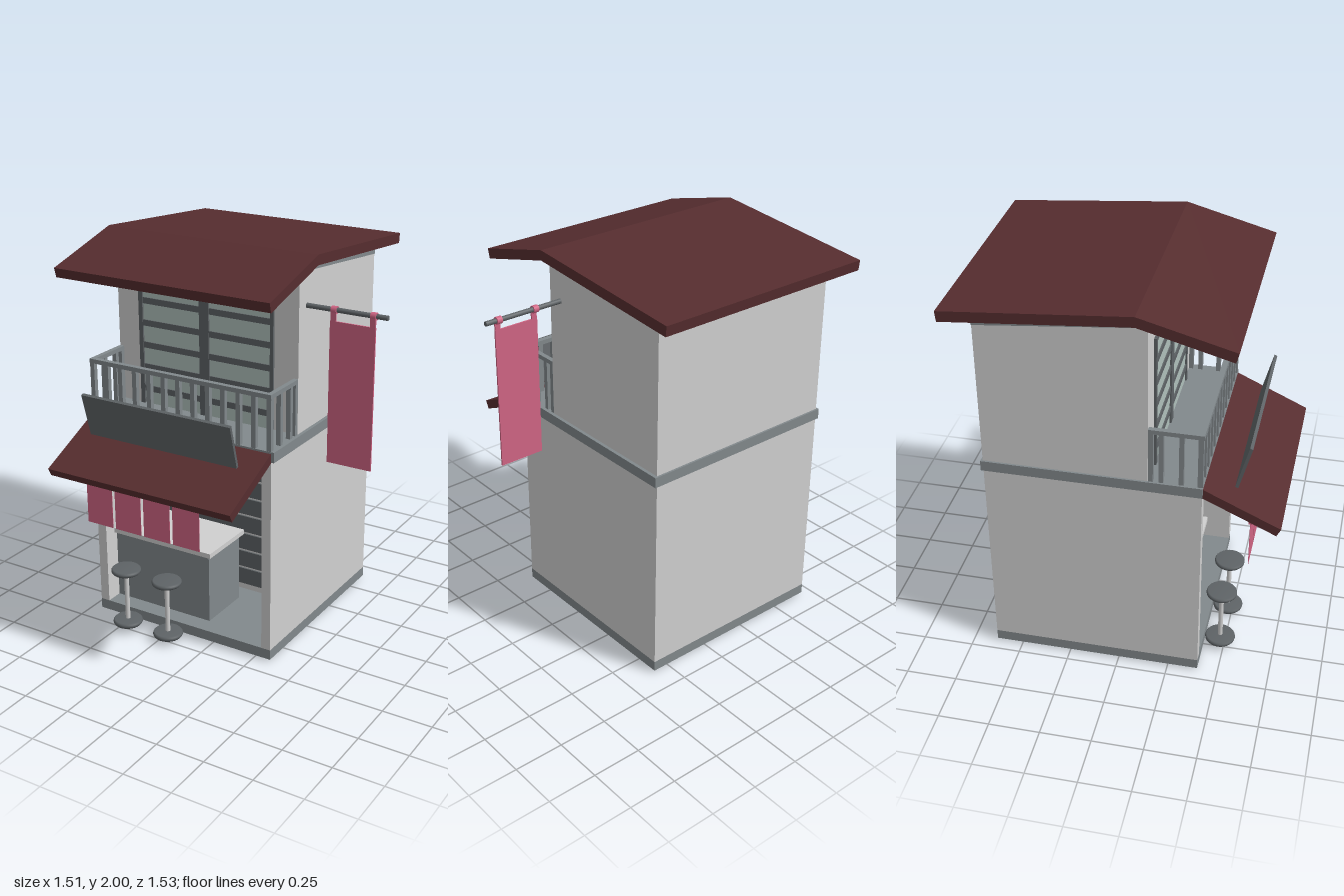
import * as THREE from 'three';

const mat = (name, color, side = THREE.FrontSide) => {
  const m = new THREE.MeshStandardMaterial({ color, side });
  m.name = name;
  return m;
};

export function createModel() {
  const M = {
    wall: mat('plaster', 0xd0d0d0),
    grey: mat('mid grey', 0x82898c),
    dark: mat('dark grey', 0x5e6366),
    roof: mat('roof red', 0x562d2f),
    pink: mat('cloth pink', 0xd06584, THREE.DoubleSide),
    glass: mat('glass', 0xb0c0bc),
  };
  const model = new THREE.Group();
  model.name = 'shopHouse';

  const group = (name) => {
    const g = new THREE.Group();
    g.name = name;
    model.add(g);
    return g;
  };
  const add = (name, geo, m, parent = model) => {
    const mesh = new THREE.Mesh(geo, m);
    mesh.name = name;
    parent.add(mesh);
    return mesh;
  };
  // Box given by its limits on each axis
  const box = (name, x0, x1, y0, y1, z0, z1, m, parent) => {
    const mesh = add(name, new THREE.BoxGeometry(x1 - x0, y1 - y0, z1 - z0), m, parent);
    mesh.position.set((x0 + x1) / 2, (y0 + y1) / 2, (z0 + z1) / 2);
    return mesh;
  };
  // Side profile of [z, y] points, extruded along x
  const slab = (name, x0, x1, pts, m, parent) => {
    const shape = new THREE.Shape(pts.map(([z, y]) => new THREE.Vector2(-z, y)));
    const geo = new THREE.ExtrudeGeometry(shape, { depth: x1 - x0, bevelEnabled: false });
    geo.rotateY(Math.PI / 2).translate(x0, 0, 0);
    return add(name, geo, m, parent);
  };
  // Round bar along x
  const barX = (name, x0, x1, y, z, r, m, parent) => {
    const geo = new THREE.CylinderGeometry(r, r, x1 - x0, 16).rotateZ(Math.PI / 2);
    const mesh = add(name, geo, m, parent);
    mesh.position.set((x0 + x1) / 2, y, z);
    return mesh;
  };

  // Ground floor: base, three walls and the recessed shop wall
  const L = -0.69, R = 0.34, B = -0.63, F = 0.4;
  const ground = group('groundFloor');
  box('base', L, R, 0.012, 0.065, B, F, M.grey, ground);
  box('leftWall', R - 0.05, R, 0.065, 1.07, B, F, M.wall, ground);
  box('rightWall', L, L + 0.05, 0.065, 1.07, B, F, M.wall, ground);
  box('backWall', L + 0.05, R - 0.05, 0.065, 1.07, B, B + 0.05, M.wall, ground);
  box('shopWall', L + 0.05, R - 0.05, 0.065, 1.07, -0.12, -0.08, M.wall, ground);
  for (let i = 0; i < 10; i++) {
    const y = 0.1 + i * 0.1025;
    box('plank', L + 0.05, R - 0.05, y, Math.min(y + 0.09, 1.07), -0.08, -0.071, M.dark, ground);
  }

  // Counter
  const counter = group('counter');
  box('counterBody', -0.64, -0.07, 0.065, 0.435, 0.02, 0.31, M.grey, counter);
  box('counterTop', -0.64, -0.05, 0.435, 0.46, 0.0, 0.33, M.wall, counter);

  // Stools with rounded discs
  const disc = (r, h) => new THREE.LatheGeometry([
    [0, -h], [r * 0.9, -h], [r * 0.98, -h * 0.5], [r, 0], [r * 0.98, h * 0.5], [r * 0.9, h], [0, h],
  ].map(([a, b]) => new THREE.Vector2(a, b)), 28);
  for (const x of [-0.463, -0.214]) {
    const stool = group('stool');
    stool.position.set(x, 0, 0.477);
    add('stoolFoot', disc(0.076, 0.014), M.dark, stool).position.y = 0.038;
    add('stoolSeat', disc(0.076, 0.013), M.dark, stool).position.y = 0.329;
    add('stoolStem', new THREE.CylinderGeometry(0.012, 0.012, 0.32, 14), M.wall, stool).position.y = 0.16;
  }

  // Upper floor
  const upper = group('upperFloor');
  box('floorBand', -0.7, 0.357, 1.07, 1.122, -0.64, F + 0.003, M.grey, upper);
  slab('upperWalls', L, R, [[0.15, 1.122], [0.15, 1.92], [B, 1.845], [B, 1.122]], M.wall, upper);
  slab('roofBed', L - 0.002, R + 0.002,
    [[0.15, 1.915], [0.15, 1.945], [0.11, 1.955], [B - 0.002, 1.893], [B - 0.002, 1.838]], M.grey, upper);

  // Balcony door: glass panes behind a grid of bars
  const door = group('balconyDoor');
  box('doorGlass', -0.55, 0.2, 1.122, 1.78, 0.15, 0.153, M.glass, door);
  for (const [x0, x1] of [[-0.56, -0.537], [-0.204, -0.15], [0.192, 0.21]])
    box('doorStile', x0, x1, 1.122, 1.79, 0.15, 0.162, M.dark, door);
  for (let i = 0; i < 6; i++) {
    const y = 1.76 - i * 0.1145;
    box('doorRail', -0.55, 0.2, y, y + 0.031, 0.15, 0.159, M.dark, door);
  }

  // Balcony railing
  const railing = group('railing');
  box('frontRail', L, R, 1.38, 1.402, 0.378, 0.405, M.grey, railing);
  for (let i = 0; i <= 12; i++) {
    const x = L + 0.012 + i * (R - L - 0.024) / 12;
    box('frontBaluster', x - 0.012, x + 0.012, 1.12, 1.38, 0.378, 0.402, M.grey, railing);
  }
  for (const x of [L, R - 0.024]) {
    box('sideRail', x, x + 0.024, 1.38, 1.402, 0.15, 0.378, M.grey, railing);
    for (const z of [0.162, 0.21, 0.303])
      box('sideBaluster', x, x + 0.024, 1.12, 1.38, z - 0.011, z + 0.011, M.grey, railing);
  }

  // Main roof and shop awning
  slab('mainRoof', -0.76, 0.415, [[0.55, 1.88], [0.11, 2.0], [-0.765, 1.927],
    [-0.76, 1.876], [0.11, 1.95], [0.537, 1.832]], M.roof);
  slab('awning', L, R, [[0.765, 0.945], [0.4, 1.114], [0.4, 1.065], [0.745, 0.905]], M.roof);

  // Blank sign board leaning forward on the awning
  slab('signBoard', -0.59, 0.245, [[0.608, 1.292], [0.594, 1.298], [0.535, 1.078], [0.549, 1.072]], M.dark);

  // Short door curtains on a rod under the awning
  const curtains = group('curtains');
  barX('curtainRod', -0.61, 0.11, 0.91, 0.612, 0.008, M.dark, curtains);
  for (const x of [-0.595, 0.095])
    box('rodBracket', x - 0.006, x + 0.006, 0.905, 0.985, 0.606, 0.618, M.dark, curtains);
  for (let i = 0; i < 4; i++) {
    const x = -0.58 + i * 0.168, w = 0.152;
    box('curtain', x, x + w, 0.63, 0.865, 0.611, 0.613, M.pink, curtains);
    for (const sx of [x, x + w - 0.022])
      box('curtainLoop', sx, sx + 0.022, 0.865, 0.92, 0.603, 0.621, M.pink, curtains);
  }

  // Hanging banner on a side pole
  const banner = group('banner');
  barX('bannerPole', 0.34, 0.755, 1.743, 0.074, 0.012, M.dark, banner);
  box('bannerCloth', 0.468, 0.7, 0.988, 1.692, 0.081, 0.089, M.pink, banner);
  for (const x of [0.484, 0.685]) {
    barX('bannerRing', x - 0.014, x + 0.014, 1.743, 0.074, 0.018, M.pink, banner);
    box('bannerStrap', x - 0.014, x + 0.014, 1.69, 1.745, 0.081, 0.089, M.pink, banner);
  }
  return model;
}
